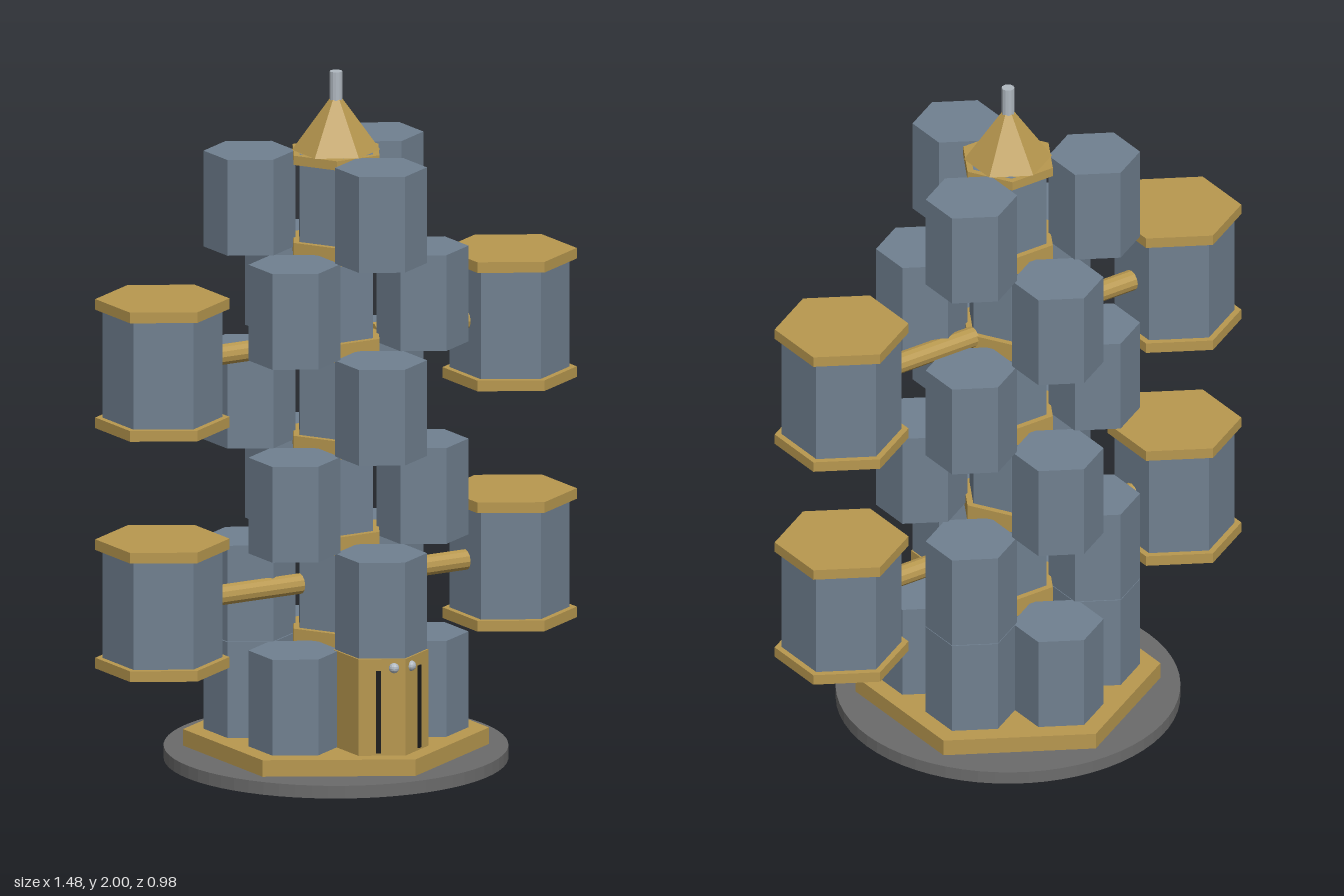
import * as THREE from 'three';

export function createModel() {
  const root = new THREE.Group();
  const paint = (color) => new THREE.MeshStandardMaterial({ color, flatShading: true });
  const slate = paint(0x708090);
  const gold = paint(0xb8984f);
  const darkGrey = paint(0x6b6b6b);
  const black = paint(0x1a1a1a);
  const silver = paint(0xb0b8c0);

  const add = (parent, name, geometry, material, x = 0, y = 0, z = 0) => {
    const mesh = new THREE.Mesh(geometry, material);
    mesh.name = name;
    mesh.position.set(x, y, z);
    parent.add(mesh);
    return mesh;
  };
  // Prism standing on y0; six sides put corners on +z and -z
  const prism = (parent, name, r, y0, y1, material, x = 0, z = 0, sides = 6, rTop = r) =>
    add(parent, name, new THREE.CylinderGeometry(rTop, r, y1 - y0, sides), material, x, (y0 + y1) / 2, z);

  // Base
  prism(root, 'groundDisc', 0.488, 0, 0.037, darkGrey, 0, 0, 64);
  prism(root, 'basePlate', 0.433, 0.037, 0.085, gold);

  // Stacked levels: three pods each, alternating by 60 degrees; ground level is full
  const base = 0.085, pitch = 0.281, podR = 0.13, ringR = 0.245;
  for (let level = 0; level < 6; level++) {
    const y0 = base + level * pitch, y1 = y0 + pitch;
    const group = new THREE.Group();
    group.name = `level${level + 1}`;
    root.add(group);

    prism(group, 'core', 0.12, y0, y1, slate).rotation.y = Math.PI / 6;
    for (const y of [y0, y1 - 0.027]) {
      prism(group, 'coreCollar', 0.14, y, y + 0.027, gold).rotation.y = Math.PI / 6;
    }
    for (let i = 0; i < 6; i++) {
      const onThisLevel = level === 0 ? i !== 0 : i % 2 === (level + 1) % 2;
      if (!onThisLevel) continue;
      const a = i * Math.PI / 3;
      prism(group, 'pod', podR, y0 + 0.001, y1 - 0.001, slate, ringR * Math.sin(a), ringR * Math.cos(a));
    }
  }

  // Entrance at the front of the ground level
  const entrance = new THREE.Group();
  entrance.name = 'entrance';
  root.add(entrance);
  prism(entrance, 'entranceBody', 0.134, base, base + pitch, gold, 0, ringR);
  for (const s of [-1, 1]) {
    const slot = add(entrance, 'doorSlot', new THREE.BoxGeometry(0.015, 0.24, 0.015), black, s * 0.065, 0.212, 0.338);
    slot.rotation.y = s * Math.PI / 6;
    add(entrance, 'doorLamp', new THREE.SphereGeometry(0.015, 12, 8), silver, s * 0.028, 0.34, 0.362);
  }

  // Outrigger modules on arms, two per side
  for (const y of [0.522, 1.222]) {
    for (const s of [-1, 1]) {
      const module = new THREE.Group();
      module.name = s > 0 ? 'leftOutrigger' : 'rightOutrigger';
      module.position.y = y;
      root.add(module);
      const arm = add(module, 'arm', new THREE.CylinderGeometry(0.03, 0.03, 0.34, 12), gold, s * 0.29);
      arm.rotation.z = Math.PI / 2;
      prism(module, 'moduleBody', 0.17, -0.158, 0.158, slate, s * 0.575);
      prism(module, 'topCap', 0.19, 0.157, 0.188, gold, s * 0.575);
      prism(module, 'bottomCap', 0.19, -0.188, -0.157, gold, s * 0.575);
    }
  }

  // Spire
  const top = base + 6 * pitch;
  prism(root, 'roofCone', 0.125, top, 1.92, gold, 0, 0, 6, 0.018);
  prism(root, 'antenna', 0.018, 1.915, 2, silver, 0, 0, 12);

  return root;
}
